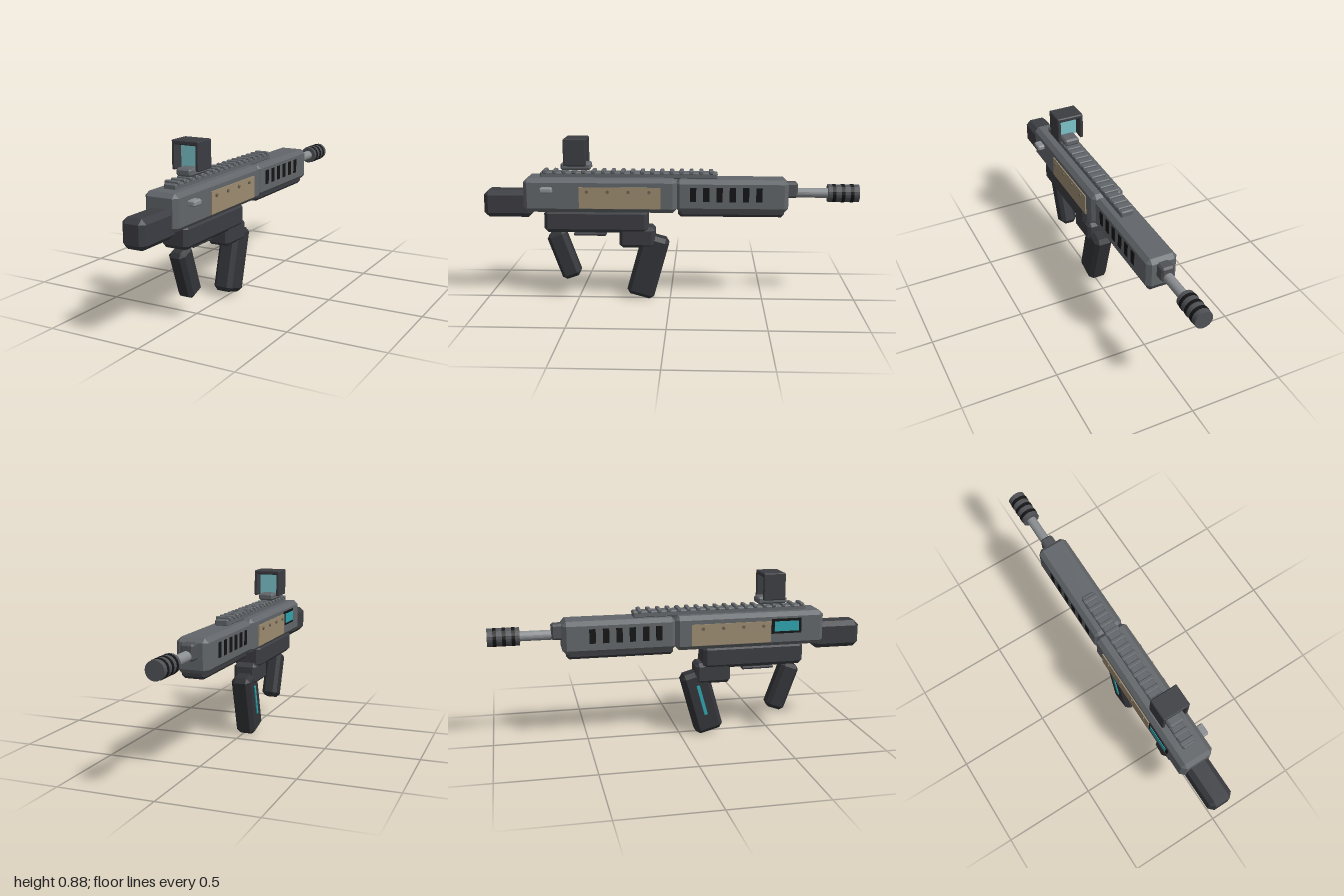
import * as THREE from 'three';
import { ConvexGeometry } from 'three/addons/geometries/ConvexGeometry.js';

const CX = -0.015; // centre line of the body
const mat = (color) => new THREE.MeshStandardMaterial({ color, flatShading: true });
const M = {
  body: mat(0x62666a), dark: mat(0x3c3d42), grip: mat(0x333438), black: mat(0x141416),
  steel: mat(0x8c8f92), muzzle: mat(0x505256), tan: mat(0x9c8b70), rivet: mat(0x6b6252),
  glow: mat(0x2fa3ad), lens: mat(0x7cc4cc),
};

// Box with every edge chamfered by c
function chamferBox(w, h, d, c) {
  const half = [w / 2, h / 2, d / 2], pts = [];
  for (let axis = 0; axis < 3; axis++)
    for (const sx of [-1, 1]) for (const sy of [-1, 1]) for (const sz of [-1, 1]) {
      const p = [sx, sy, sz].map((s, i) => s * (half[i] - (i === axis ? 0 : c)));
      pts.push(new THREE.Vector3(...p));
    }
  return new ConvexGeometry(pts);
}

export function createModel() {
  const model = new THREE.Group();

  function add(name, geometry, material, x, y, z, parent = model) {
    const mesh = new THREE.Mesh(geometry, material);
    mesh.name = name;
    mesh.position.set(x, y, z);
    parent.add(mesh);
    return mesh;
  }
  // Boxes given by their extents: x, y and z ranges
  function block(name, material, [x0, x1], [y0, y1], [z0, z1], c = 0, parent = model) {
    const size = [x1 - x0, y1 - y0, z1 - z0];
    const geometry = c ? chamferBox(...size, c) : new THREE.BoxGeometry(...size);
    return add(name, geometry, material, (x0 + x1) / 2, (y0 + y1) / 2, (z0 + z1) / 2, parent);
  }
  const wide = (w) => [CX - w / 2, CX + w / 2];

  // Main body
  block('receiver', M.body, wide(0.182), [0.495, 0.678], [-0.037, 0.78], 0.022);
  block('stock', M.dark, wide(0.128), [0.46, 0.606], [0.735, 1.0], 0.025);
  block('lowerReceiver', M.dark, wide(0.15), [0.382, 0.505], [0.118, 0.674], 0.02);
  block('handguard', M.body, wide(0.164), [0.5, 0.673], [-0.625, -0.03], 0.022);
  block('handguardUnderside', M.dark, wide(0.125), [0.472, 0.53], [-0.605, -0.043], 0.015);

  // Side plates with rivets, and handguard vents, mirrored on both sides
  for (const s of [-1, 1]) {
    const side = new THREE.Group();
    side.name = s > 0 ? 'leftSideDetails' : 'rightSideDetails';
    model.add(side);
    add('sidePlate', new THREE.BoxGeometry(0.012, 0.114, 0.432), M.tan, CX + s * 0.091, 0.577, 0.264, side);
    for (const z of [0.438, 0.328, 0.218, 0.108]) {
      const rivet = add('rivet', new THREE.CylinderGeometry(0.009, 0.009, 0.012, 8), M.rivet,
        CX + s * 0.097, 0.61, z, side);
      rivet.rotation.z = Math.PI / 2;
    }
    for (let i = 0; i < 6; i++)
      add('vent', new THREE.BoxGeometry(0.01, 0.076, 0.033), M.black,
        CX + s * 0.08, 0.596, -0.123 - i * 0.0695, side);
  }

  // Glowing window on the right side and charging handle on the left
  block('windowFrame', M.black, [-0.112, -0.1], [0.565, 0.645], [0.485, 0.65]);
  block('window', M.glow, [-0.115, -0.1], [0.578, 0.632], [0.5, 0.635]);
  block('chargingHandle', M.steel, [0.06, 0.114], [0.605, 0.633], [0.62, 0.684], 0.006);

  // Top rail
  const rail = new THREE.Group();
  rail.name = 'topRail';
  model.add(rail);
  block('railBase', M.body, wide(0.07), [0.67, 0.704], [-0.252, 0.695], 0.006, rail);
  for (let i = 0; i < 18; i++) {
    const z = 0.67 - i * 0.0522;
    block('railTooth', M.body, wide(0.08), [0.696, 0.716], [z - 0.011, z + 0.011], 0.004, rail);
  }

  // Hooded sight, open to the front, back and bottom
  const sight = new THREE.Group();
  sight.name = 'sight';
  model.add(sight);
  block('sightMount', M.body, wide(0.084), [0.716, 0.755], [0.422, 0.582], 0.009, sight);
  block('hoodTop', M.dark, wide(0.15), [0.863, 0.886], [0.442, 0.562], 0.005, sight);
  for (const s of [-1, 1])
    add('hoodWall', chamferBox(0.018, 0.144, 0.12, 0.004), M.dark, CX + s * 0.066, 0.814, 0.502, sight);
  block('lens', M.lens, wide(0.116), [0.747, 0.866], [0.498, 0.506], 0, sight);

  // Barrel with collar and ringed muzzle
  function tube(name, r, z0, z1, material) {
    const mesh = add(name, new THREE.CylinderGeometry(r, r, z1 - z0, 20), material, CX, 0.596, (z0 + z1) / 2);
    mesh.rotation.x = Math.PI / 2;
  }
  block('barrelCollar', M.muzzle, wide(0.068), [0.572, 0.655], [-0.677, -0.61], 0.01);
  tube('barrel', 0.026, -0.86, -0.6, M.steel);
  tube('muzzle', 0.047, -1.0, -0.836, M.muzzle);
  for (const z of [-0.868, -0.915, -0.962]) tube('muzzleRing', 0.049, z - 0.009, z + 0.009, M.black);

  // Magazine well and tilted magazine with a glowing strip
  block('magazineWell', M.dark, wide(0.128), [0.297, 0.41], [0.08, 0.272], 0.018);
  const magazine = new THREE.Group();
  magazine.name = 'magazine';
  magazine.position.set(CX, 0.188, 0.12);
  magazine.rotation.x = -0.27;
  model.add(magazine);
  add('magazineBody', chamferBox(0.108, 0.348, 0.152, 0.022), M.grip, 0, 0, 0, magazine);
  add('magazineStrip', new THREE.BoxGeometry(0.008, 0.172, 0.018), M.glow, -0.055, 0.017, 0, magazine);

  // Tilted grip and trigger guard
  const grip = add('grip', chamferBox(0.09, 0.268, 0.106, 0.02), M.grip, CX, 0.247, 0.577);
  grip.rotation.x = 0.35;
  block('triggerGuard', M.dark, wide(0.04), [0.353, 0.367], [0.347, 0.524], 0.004);

  return model;
}
